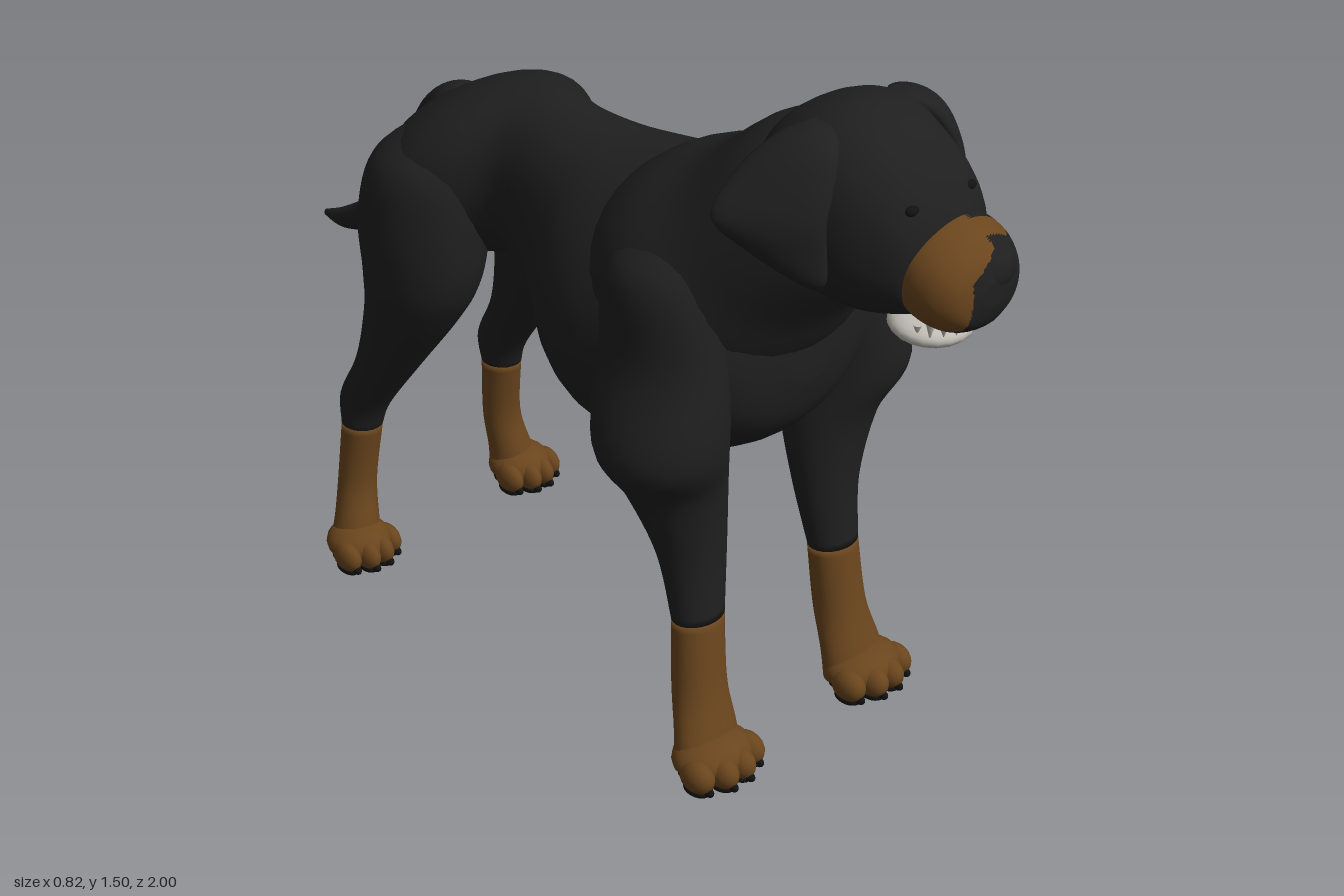
import * as THREE from 'three';

const mat = (name, hex) => {
  const m = new THREE.MeshStandardMaterial({ color: hex });
  m.name = name;
  return m;
};

// Smooth closed skin through rings [x, y, z, rx, ry, tilt, yaw]; power below 1 squares the rings off
function loft(keys, steps = 6, sides = 28, power = 1) {
  const rings = [];
  const at = (i) => keys[Math.min(Math.max(i, 0), keys.length - 1)];
  for (let i = 0; i < keys.length - 1; i++) {
    for (let s = 0; s < steps; s++) {
      const t = s / steps;
      rings.push(keys[i].map((p1, k) => {
        const p0 = at(i - 1)[k], p2 = at(i + 1)[k], p3 = at(i + 2)[k];
        const m1 = (p2 - p0) / 2, m2 = (p3 - p1) / 2;
        return (2 * t ** 3 - 3 * t * t + 1) * p1 + (t ** 3 - 2 * t * t + t) * m1
          + (3 * t * t - 2 * t ** 3) * p2 + (t ** 3 - t * t) * m2;
      }));
    }
  }
  rings.push(keys[keys.length - 1]);
  const pos = [], idx = [];
  const p = new THREE.Vector3(), e = new THREE.Euler();
  const bend = (v) => Math.sign(v) * Math.abs(v) ** power;
  rings.forEach(([x, y, z, rx, ry, tilt, yaw]) => {
    e.set(tilt, yaw, 0, 'YXZ');
    for (let j = 0; j < sides; j++) {
      const a = (j / sides) * Math.PI * 2;
      p.set(Math.max(rx, 0.002) * bend(Math.cos(a)), Math.max(ry, 0.002) * bend(Math.sin(a)), 0).applyEuler(e);
      pos.push(p.x + x, p.y + y, p.z + z);
    }
  });
  const n = rings.length;
  for (let i = 0; i < n - 1; i++) {
    for (let j = 0; j < sides; j++) {
      const a = i * sides + j, b = i * sides + (j + 1) % sides;
      idx.push(a, b, b + sides, a, b + sides, a + sides);
    }
  }
  [0, n - 1].forEach((r) => {
    const c = pos.length / 3, [x, y, z] = rings[r];
    pos.push(x, y, z);
    for (let j = 0; j < sides; j++) {
      const a = r * sides + j, b = r * sides + (j + 1) % sides;
      if (r === 0) idx.push(c, b, a); else idx.push(c, a, b);
    }
  });
  // Turn the faces outward if the enclosed volume is negative
  const v = (i) => new THREE.Vector3().fromArray(pos, i * 3);
  let volume = 0;
  for (let i = 0; i < idx.length; i += 3) volume += v(idx[i]).dot(v(idx[i + 1]).cross(v(idx[i + 2])));
  if (volume < 0) idx.reverse();
  const g = new THREE.BufferGeometry();
  g.setAttribute('position', new THREE.Float32BufferAttribute(pos, 3));
  g.setIndex(idx);
  g.computeVertexNormals();
  return g;
}

// Sort faces into two material groups by a rule on their centres
function paint(g, rule) {
  const lists = [[], []], pos = g.attributes.position, idx = g.index.array;
  for (let i = 0; i < idx.length; i += 3) {
    const face = [idx[i], idx[i + 1], idx[i + 2]], c = new THREE.Vector3();
    face.forEach((k) => c.add(new THREE.Vector3().fromBufferAttribute(pos, k)));
    lists[rule(c.divideScalar(3)) ? 1 : 0].push(...face);
  }
  g.setIndex(lists.flat());
  g.addGroup(0, lists[0].length, 0);
  g.addGroup(lists[0].length, lists[1].length, 1);
  return g;
}

// Ring from an upright slice, and ring from a level slice
const slice = ([z, top, bottom, half, x = 0]) => [x, (top + bottom) / 2, z, half, (top - bottom) / 2, 0, 0];
const level = (side) => ([y, x, z, rx, rz, yaw = 0]) => [side * x, y, z, rx, rz, Math.PI / 2, side * yaw];

export function createModel() {
  const black = mat('black coat', 0x1f1f1f);
  const tan = mat('tan coat', 0x6a451d);
  const dark = mat('dark pads', 0x121212);
  const pale = mat('pale teeth and jaw', 0xc4c0b8);

  const dog = new THREE.Group();
  dog.name = 'dog';
  const add = (name, geometry, material, parent = dog) => {
    const m = new THREE.Mesh(geometry, material);
    m.name = name;
    parent.add(m);
    return m;
  };
  const ball = (name, material, p, r, parent = dog) => {
    const m = add(name, new THREE.SphereGeometry(1, 20, 14), material, parent);
    m.position.set(...p);
    m.scale.set(...r);
    return m;
  };

  // Trunk from rump to breast
  add('body', loft([
    [-0.56, 1.03, 0.93, 0.05, 0.015], [-0.548, 1.07, 0.88, 0.14, 0.015], [-0.5, 1.13, 0.82, 0.225, 0.015],
    [-0.4, 1.19, 0.82, 0.27, 0.015], [-0.3, 1.225, 0.83, 0.24, 0.015], [-0.2, 1.235, 0.84, 0.165, 0.01],
    [-0.1, 1.225, 0.78, 0.17], [0, 1.215, 0.705, 0.22], [0.1, 1.215, 0.655, 0.29],
    [0.2, 1.225, 0.625, 0.33], [0.3, 1.24, 0.62, 0.33], [0.4, 1.25, 0.645, 0.31],
    [0.5, 1.2, 0.7, 0.27], [0.56, 1.1, 0.77, 0.19], [0.585, 1.0, 0.86, 0.06],
  ].map(slice), 5, 40), black);

  // Thick neck leaning forward
  add('neck', loft([
    [0, 0.98, 0.18, 0.22, 0.2, -0.4, 0], [0, 1.0, 0.28, 0.3, 0.24, -0.5, 0], [0, 1.08, 0.4, 0.315, 0.24, -0.7, 0],
    [0, 1.17, 0.5, 0.26, 0.2, -0.75, 0], [0, 1.27, 0.6, 0.205, 0.18, -0.7, 0], [0, 1.32, 0.66, 0.16, 0.14, -0.6, 0],
  ], 6, 36), black);

  add('tail', loft([
    [0.02, 1.09, -0.38, 0.04, 0.04, -0.2, 0], [0.022, 1.1, -0.47, 0.065, 0.055, -0.4, 0],
    [0.027, 1.05, -0.545, 0.06, 0.06, -0.85, 0],
    [0.03, 0.95, -0.615, 0.055, 0.052, -0.95, 0], [0.03, 0.81, -0.715, 0.045, 0.045, -0.85, 0],
    [0.03, 0.715, -0.82, 0.036, 0.038, -0.6, 0], [0.03, 0.665, -0.92, 0.026, 0.026, -0.35, 0],
    [0.03, 0.65, -0.998, 0.006, 0.008, -0.1, 0],
  ]), black);
  ball('sheath', black, [0, 0.8, -0.13], [0.028, 0.03, 0.075]).rotation.x = 0.5;

  // Head, with the muzzle turned very slightly to its left
  const head = new THREE.Group();
  head.name = 'head';
  dog.add(head);
  add('skull', loft([
    [0.49, 1.36, 1.27, 0.06], [0.55, 1.445, 1.18, 0.145], [0.62, 1.49, 1.13, 0.18], [0.7, 1.505, 1.11, 0.185],
    [0.78, 1.48, 1.105, 0.165], [0.84, 1.425, 1.115, 0.145, 0.015], [0.88, 1.365, 1.13, 0.12, 0.025],
    [0.905, 1.31, 1.16, 0.08, 0.03],
  ].map(slice), 6, 36, 0.85), black, head);
  // Tan cheeks with a black bridge and a black stripe from nose to lip
  add('muzzle', paint(loft([
    [0.85, 1.32, 1.13, 0.11, 0.035], [0.87, 1.322, 1.115, 0.124, 0.035], [0.91, 1.318, 1.105, 0.127, 0.035],
    [0.95, 1.3, 1.108, 0.115, 0.035], [0.982, 1.265, 1.13, 0.085, 0.035], [0.996, 1.22, 1.17, 0.03, 0.035],
  ].map(slice), 10, 80, 0.95), ({ x, y, z }) => {
    if (y > 1.275) return x > 0.05 && (z < 0.915 || z > 0.955);
    const left = -0.02 + Math.max(0, y - 1.23) * 1.5;
    return y < 1.113 || (z > 0.9 && x > left && x < 0.13);
  }), [tan, black], head);
  ball('nose', black, [0.06, 1.225, 0.958], [0.062, 0.05, 0.041], head);
  ball('upperLip', black, [0.04, 1.135, 0.935], [0.085, 0.027, 0.048], head);
  ball('lowerJaw', pale, [0.022, 1.098, 0.862], [0.092, 0.034, 0.08], head).rotation.x = 0.15;
  ball('tongue', tan, [0.035, 1.113, 0.9], [0.05, 0.018, 0.05], head);
  for (let i = 0; i < 9; i++) {
    const a = (i / 8 - 0.5) * 2.6;
    const tooth = add('tooth', new THREE.ConeGeometry(0.009, i === 1 || i === 7 ? 0.035 : 0.022, 8), pale, head);
    tooth.position.set(0.025 + 0.08 * Math.sin(a), 1.112, 0.87 + 0.075 * Math.cos(a));
    tooth.rotation.x = Math.PI;
  }

  // Paw with four toes, claws and pads
  function paw(name, x, z, w) {
    const g = new THREE.Group();
    g.name = name;
    g.position.set(x, 0, z);
    dog.add(g);
    ball('instep', tan, [0, 0.055, -0.01], [w * 0.92, 0.048, 0.075], g);
    ball('heelPad', dark, [0, 0.02, -0.02], [w * 0.75, 0.018, 0.05], g);
    for (let i = 0; i < 4; i++) {
      const u = i - 1.5, inner = Math.abs(u) < 1;
      const tx = u * w * 0.48, tz = inner ? 0.042 : 0.02;
      ball('toe', tan, [tx, 0.045, tz], [w * 0.29, 0.036, 0.043], g);
      ball('toePad', dark, [tx, 0.016, tz], [w * 0.23, 0.014, 0.034], g);
      ball('claw', dark, [tx, 0.024, tz + 0.033], [0.009, 0.011, 0.014], g);
    }
  }

  for (const side of [1, -1]) {
    const s = side > 0 ? 'left' : 'right';
    const L = level(side);
    // Hanging ear flap
    add(s + 'Ear', loft([
      [1.482, 0.11, 0.68, 0.02, 0.025, 1.4], [1.462, 0.145, 0.685, 0.06, 0.04, 1.25], [1.415, 0.195, 0.685, 0.09, 0.036, 1.1],
      [1.335, 0.25, 0.69, 0.107, 0.022, 0.95], [1.27, 0.23, 0.72, 0.074, 0.02, 0.95],
      [1.22, 0.205, 0.75, 0.036, 0.015, 1], [1.2, 0.195, 0.76, 0.01, 0.006, 1],
    ].map(L)), black, head);
    ball(s + 'Eye', dark, [side * 0.08 + 0.015, 1.355, 0.872], [0.016, 0.01, 0.01], head);

    // Foreleg: shoulder and forearm, then tan pastern
    add(s + 'ForelegUpper', loft([
      [1.21, 0.15, 0.4, 0.05, 0.06], [1.13, 0.215, 0.4, 0.115, 0.12], [0.95, 0.235, 0.41, 0.115, 0.15],
      [0.77, 0.27, 0.44, 0.138, 0.135], [0.65, 0.225, 0.44, 0.113, 0.095], [0.5, 0.2, 0.46, 0.08, 0.064],
      [0.35, 0.203, 0.485, 0.062, 0.047],
    ].map(L)), black);
    add(s + 'ForelegLower', loft([
      [0.35, 0.203, 0.485, 0.062, 0.047], [0.2, 0.213, 0.502, 0.063, 0.051],
      [0.1, 0.222, 0.53, 0.076, 0.05], [0.035, 0.228, 0.545, 0.084, 0.055],
    ].map(L)), tan);
    ball(s + 'WristPad', tan, [side * 0.215, 0.195, 0.463], [0.02, 0.025, 0.018]);
    paw(s + 'ForePaw', side * 0.23, 0.57, 0.102);

    // Hind leg: thigh and gaskin down to the hock, then tan pastern
    add(s + 'HindLegUpper', loft([
      [1.13, 0.1, -0.38, 0.06, 0.07], [1.06, 0.14, -0.39, 0.125, 0.135], [0.93, 0.165, -0.395, 0.132, 0.158],
      [0.8, 0.18, -0.39, 0.118, 0.145], [0.7, 0.19, -0.415, 0.098, 0.118], [0.55, 0.2, -0.49, 0.07, 0.08],
      [0.42, 0.207, -0.573, 0.05, 0.068], [0.35, 0.212, -0.585, 0.046, 0.049],
    ].map(L)), black);
    add(s + 'HindLegLower', loft([
      [0.35, 0.212, -0.585, 0.046, 0.049], [0.2, 0.222, -0.6, 0.046, 0.043],
      [0.1, 0.238, -0.59, 0.053, 0.05], [0.035, 0.25, -0.585, 0.064, 0.06],
    ].map(L)), tan);
    paw(s + 'HindPaw', side * 0.25, -0.56, 0.082);
  }
  return dog;
}
